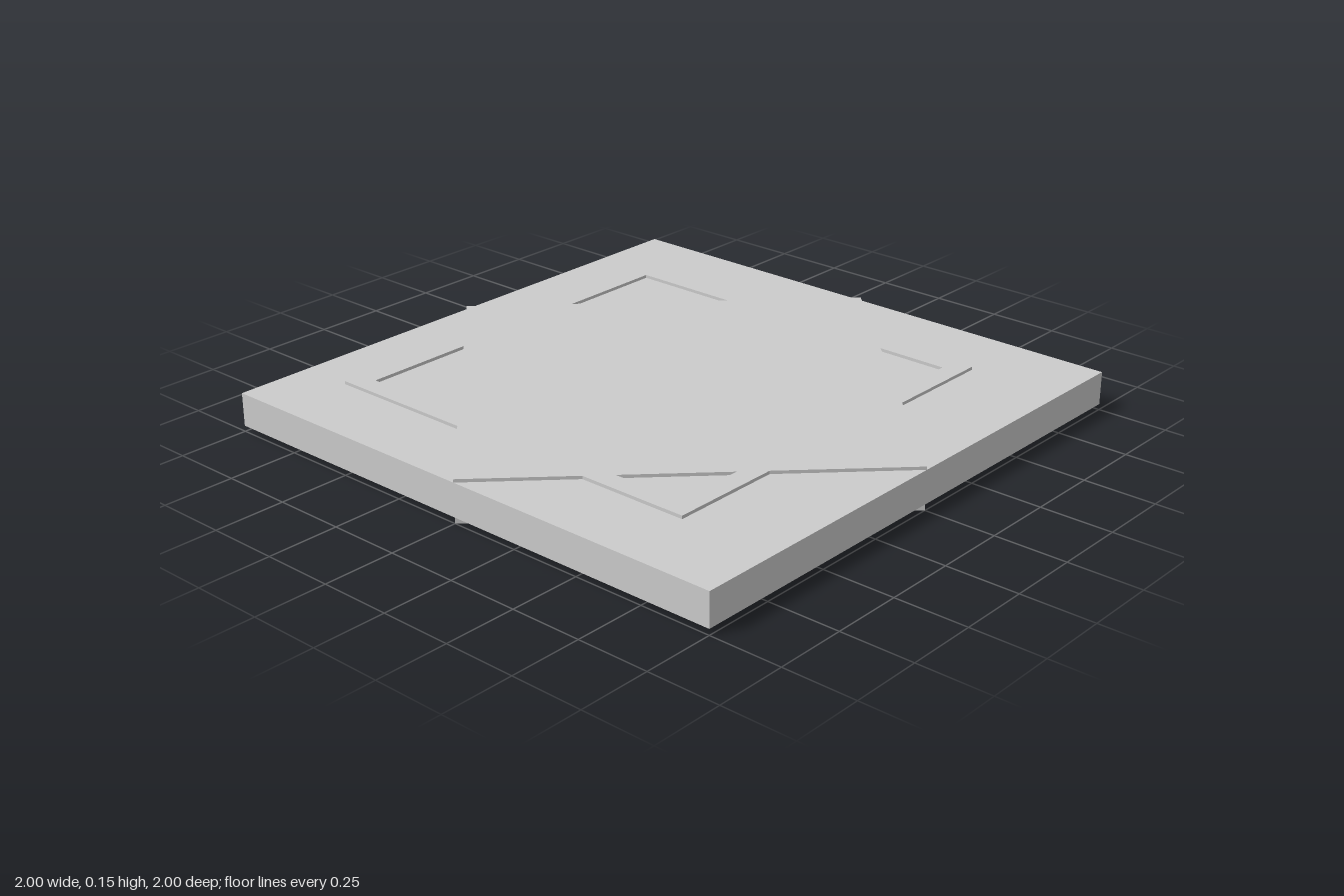
import * as THREE from 'three';
import { mergeGeometries } from 'three/addons/utils/BufferGeometryUtils.js';

const material = new THREE.MeshStandardMaterial({ color: 0xcccccc, side: THREE.DoubleSide });

const rect = (x0, x1, z) => [[x0, z], [x0, -z], [x1, -z], [x1, z]];

// Upright thin walls along a closed outline of [x, z] corners, facing outward
function walls(outline, bottom, top) {
  return outline.map(([x0, z0], i) => {
    const [x1, z1] = outline[(i + 1) % outline.length];
    const dx = x1 - x0, dz = z1 - z0;
    const wall = new THREE.PlaneGeometry(Math.hypot(dx, dz), top - bottom);
    wall.rotateY(Math.PI - Math.atan2(dz, dx) );
    wall.translate((x0 + x1) / 2, (top + bottom) / 2, (z0 + z1) / 2);
    return wall;
  });
}

// Hollow shell: flat top and side walls, open underneath
function shell(name, outline, bottom, top, hole) {
  const toPoints = (loop) => loop.map(([x, z]) => new THREE.Vector2(x, -z));
  const shape = new THREE.Shape(toPoints(outline));
  if (hole) shape.holes.push(new THREE.Path(toPoints(hole)));
  const lid = new THREE.ShapeGeometry(shape).rotateX(-Math.PI / 2).translate(0, top, 0);
  const parts = [lid, ...walls(outline, bottom, top)];
  if (hole) parts.push(...walls([...hole].reverse(), bottom, top));
  const mesh = new THREE.Mesh(mergeGeometries(parts), material);
  mesh.name = name;
  return mesh;
}

export function createModel() {
  const model = new THREE.Group();
  model.name = 'starTile';
  // Square tile body
  model.add(shell('tileBody', rect(-1, 1, 1), 0.02, 0.136));
  // Diamond reaching the middle of each tile edge
  model.add(shell('diamondInlay', [[-1, 0], [0, -1], [1, 0], [0, 1]], 0, 0.147));
  // Square frame crossing the diamond to form an eight-pointed star
  model.add(shell('squareFrame', rect(-0.805, 0.665, 0.73), 0, 0.147, rect(-0.735, 0.595, 0.66)));
  return model;
}
